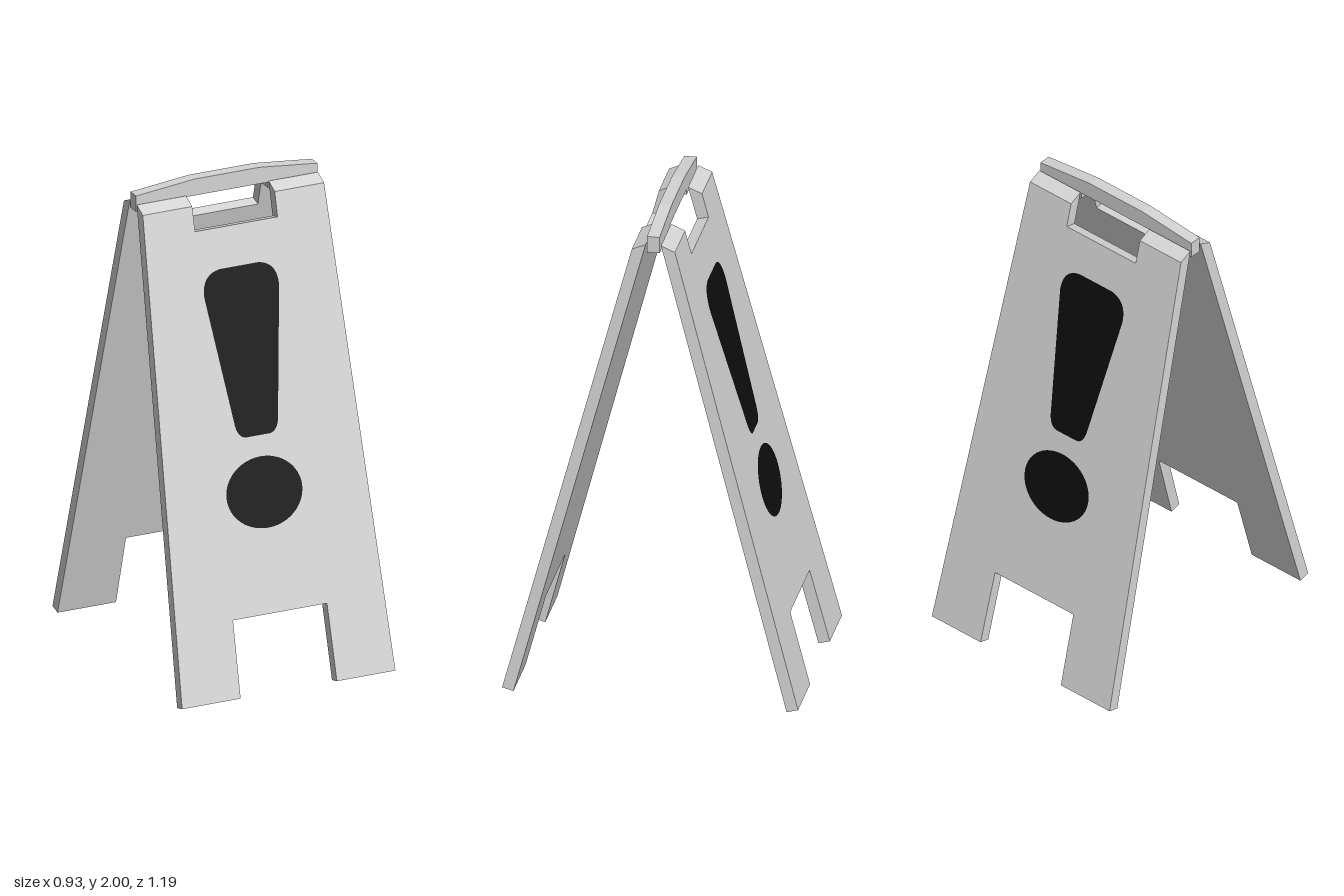
import * as THREE from 'three';

const grey = new THREE.MeshStandardMaterial({ color: 0xd4d4d4 });
grey.name = 'light grey plastic';
const black = new THREE.MeshStandardMaterial({ color: 0x0d0d0d });
black.name = 'black paint';

const THICK = 0.0475, HEIGHT = 2.005, BEVEL = 0.038;
const TILT = Math.atan2(0.517, 1.94);

// Shape symmetric in x, from the points of its right half (bottom to top)
function mirroredShape(half) {
  const left = half.map(([x, y]) => [-x, y]).reverse();
  return new THREE.Shape([...half, ...left].map(([x, y]) => new THREE.Vector2(x, y)));
}

// Tapered board with leg cut-out, grip notch and a bevelled top edge
function panelGeometry() {
  const shape = mirroredShape([
    [0.205, 0.313], [0.21, 0], [0.465, 0], [0.395, HEIGHT],
    [0.18, HEIGHT], [0.18, 1.866],
  ]);
  const geo = new THREE.ExtrudeGeometry(shape, { depth: THICK, bevelEnabled: false });
  const p = geo.attributes.position;
  for (let i = 0; i < p.count; i++) {
    if (p.getY(i) > HEIGHT - 0.01 && p.getZ(i) > THICK / 2) p.setY(i, HEIGHT - BEVEL);
  }
  geo.computeVertexNormals();
  return geo;
}

// Tapering bar of the warning mark, with rounded corners
function barShape() {
  const s = new THREE.Shape();
  s.moveTo(-0.05, 1.022);
  s.lineTo(0.05, 1.022);
  s.quadraticCurveTo(0.085, 1.024, 0.094, 1.075);
  s.lineTo(0.163, 1.6);
  s.quadraticCurveTo(0.165, 1.69, 0.085, 1.702);
  s.lineTo(-0.085, 1.702);
  s.quadraticCurveTo(-0.165, 1.69, -0.163, 1.6);
  s.lineTo(-0.094, 1.075);
  s.quadraticCurveTo(-0.085, 1.024, -0.05, 1.022);
  return s;
}

function dotShape() {
  const s = new THREE.Shape();
  s.absellipse(0, 0.795, 0.165, 0.143, 0, Math.PI * 2, false, 0);
  return s;
}

function add(parent, name, geo, mat) {
  const mesh = new THREE.Mesh(geo, mat);
  mesh.name = name;
  parent.add(mesh);
  return mesh;
}

export function createModel() {
  const model = new THREE.Group();
  model.name = 'foldingFloorSign';

  // Two leaning boards, each with the painted warning mark
  const board = panelGeometry();
  const bar = new THREE.ShapeGeometry(barShape(), 10);
  const dot = new THREE.ShapeGeometry(dotShape(), 24);
  for (const [side, turn] of [['front', 0], ['back', Math.PI]]) {
    const half = new THREE.Group();
    half.name = side + 'Half';
    half.rotation.y = turn;
    const leaning = new THREE.Group();
    leaning.name = side + 'Board';
    leaning.position.z = 0.547;
    leaning.rotation.x = -TILT;
    add(leaning, side + 'Panel', board, grey);
    for (const [name, geo] of [['MarkBar', bar], ['MarkDot', dot]]) {
      const mark = add(leaning, side + name, geo, black);
      mark.position.set(turn ? 0.01 : -0.01, 0, THICK + 0.002);
    }
    half.add(leaning);
    model.add(half);
  }

  // Carrying handle between the board tops
  const handle = new THREE.ExtrudeGeometry(mirroredShape([
    [0.18, 1.93], [0.18, 1.905], [0.395, 1.905], [0.395, 1.973], [0.14, 2],
  ]), { depth: 0.05, bevelEnabled: false });
  handle.translate(0, 0, -0.025);
  add(model, 'handle', handle, grey);

  return model;
}
